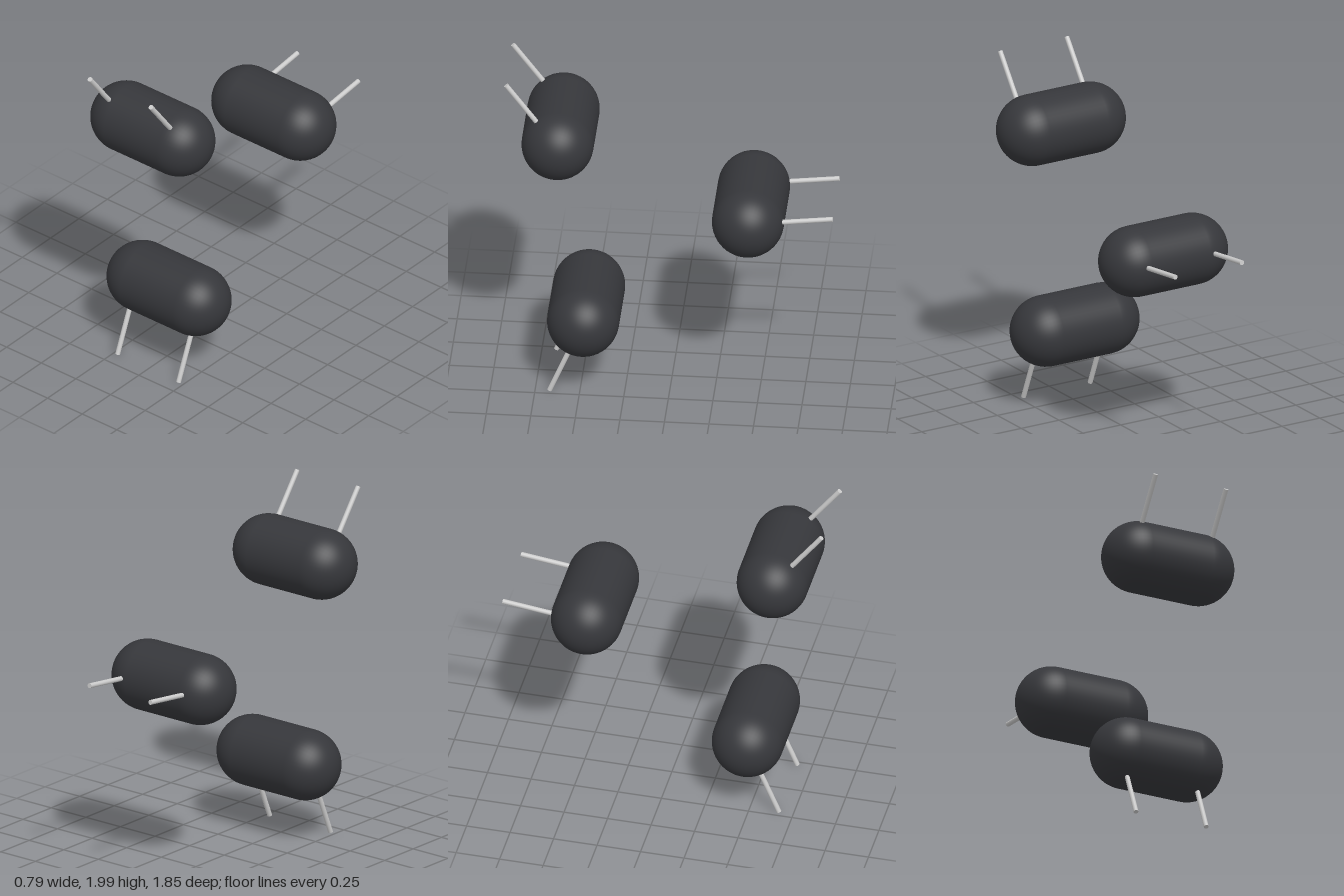
import * as THREE from 'three';

const RADIUS = 0.202, HALF = 0.393, PIN_X = 0.22, PIN_R = 0.014, PIN_TIP = 0.481;

// One capsule body with two parallel pins pointing radially outwards along local +y
function createPinnedCapsule(name, y, z, dirY, dirZ) {
  const unit = new THREE.Group();
  unit.name = name;

  const bodyGeometry = new THREE.CapsuleGeometry(RADIUS, 2 * (HALF - RADIUS), 16, 48);
  bodyGeometry.rotateZ(Math.PI / 2);
  const body = new THREE.Mesh(bodyGeometry, new THREE.MeshStandardMaterial({ color: 0x36373b }));
  body.name = 'capsuleBody';
  unit.add(body);

  // Pins start just inside the body surface
  const start = RADIUS - 0.02;
  const pinGeometry = new THREE.CylinderGeometry(PIN_R, PIN_R, PIN_TIP - start, 16);
  pinGeometry.translate(0, (PIN_TIP + start) / 2, 0);
  const pinMaterial = new THREE.MeshStandardMaterial({ color: 0xcccccc });
  for (const side of [1, -1]) {
    const pin = new THREE.Mesh(pinGeometry, pinMaterial);
    pin.name = side > 0 ? 'leftPin' : 'rightPin';
    pin.position.x = side * PIN_X;
    unit.add(pin);
  }

  unit.position.set(0, y, z);
  unit.rotation.x = Math.atan2(dirZ, dirY);
  return unit;
}

export function createModel() {
  const model = new THREE.Group();
  model.name = 'pinnedCapsules';
  model.add(
    createPinnedCapsule('upperFrontCapsule', 1.606, 0.626, 0.384, 0.285),
    createPinnedCapsule('rearCapsule', 1.155, -0.442, 0.058, -0.482),
    createPinnedCapsule('lowerFrontCapsule', 0.456, 0.483, -0.445, 0.186),
  );
  return model;
}
